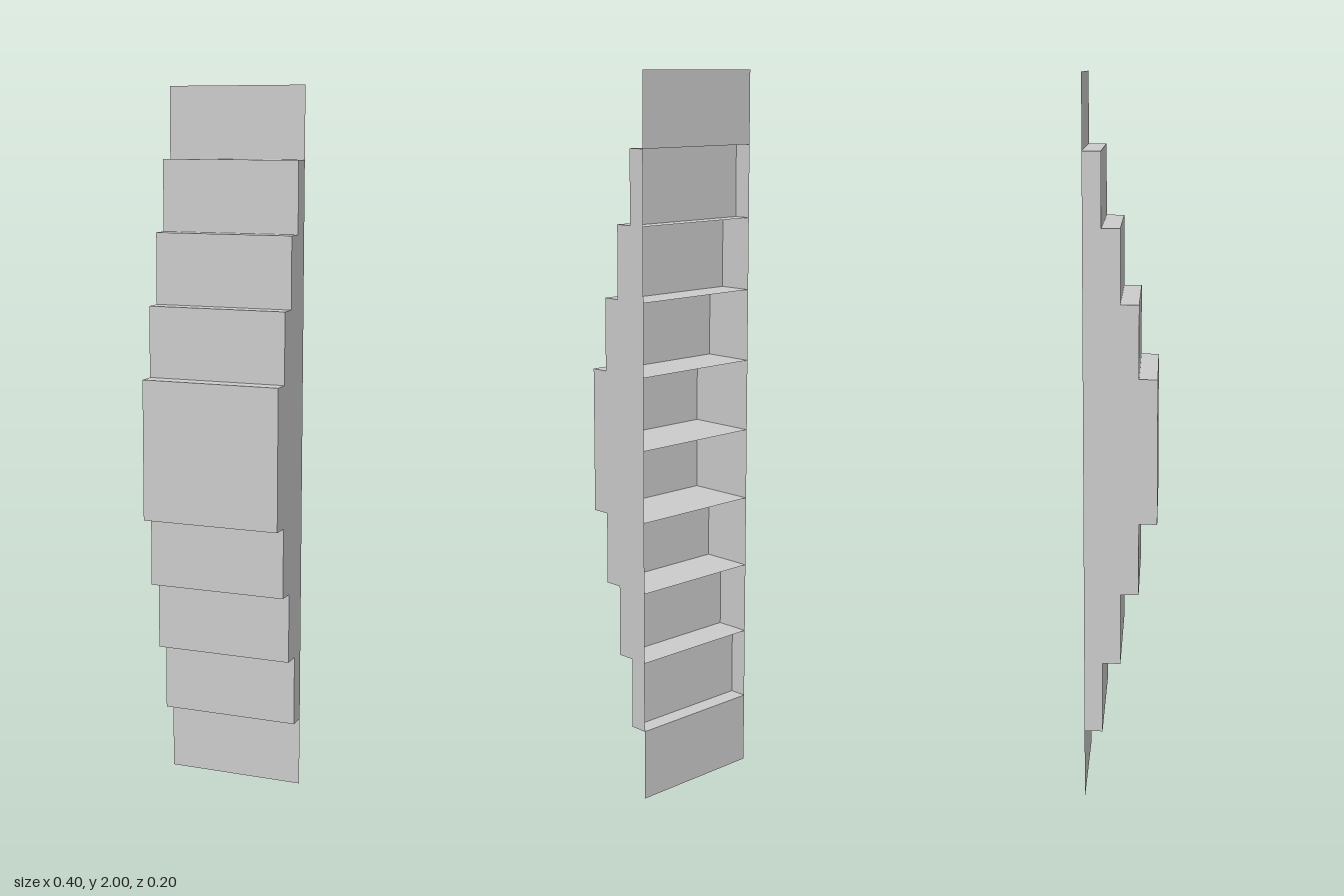
import * as THREE from 'three';

export function createModel() {
  const group = new THREE.Group();
  const material = new THREE.MeshStandardMaterial({ color: 0xcccccc, side: THREE.DoubleSide, flatShading: true });
  const width = 0.4, cell = 0.2, back = -0.1;
  // front z of each 0.2-high cell, from y = 0 to y = 2
  const fronts = [-0.1, -0.05, 0, 0.05, 0.1, 0.1, 0.05, 0, -0.05, -0.1];

  const add = (name, geometry, x, y, z) => {
    const mesh = new THREE.Mesh(geometry, material);
    mesh.name = name;
    mesh.position.set(x, y, z);
    group.add(mesh);
  };

  // thin front panels, including the flat end tabs; the middle one spans two cells
  fronts.forEach((z, i) => {
    if (i === 5) return;
    const h = i === 4 ? 2 * cell : cell;
    const name = i === 0 || i === 9 ? 'endTab' : 'frontPanel';
    add(name, new THREE.PlaneGeometry(width, h), 0, i * cell + h / 2, z);
  });

  // shelves at every cell boundary, as deep as the deeper neighbour
  for (let i = 1; i < fronts.length; i++) {
    const depth = Math.max(fronts[i - 1], fronts[i]) - back;
    add('shelf', new THREE.PlaneGeometry(width, depth).rotateX(-Math.PI / 2), 0, i * cell, back + depth / 2);
  }

  // stepped side walls, open at the back
  const profile = [new THREE.Vector2(-back, cell)];
  for (let i = 1; i < fronts.length - 1; i++) {
    // shape x runs along -z
    profile.push(new THREE.Vector2(-fronts[i], i * cell), new THREE.Vector2(-fronts[i], (i + 1) * cell));
  }
  profile.push(new THREE.Vector2(-back, 9 * cell));
  for (const side of [-1, 1]) {
    const wall = new THREE.ShapeGeometry(new THREE.Shape(profile)).rotateY(Math.PI / 2);
    add(side > 0 ? 'leftWall' : 'rightWall', wall, side * width / 2, 0, 0);
  }

  return group;
}
